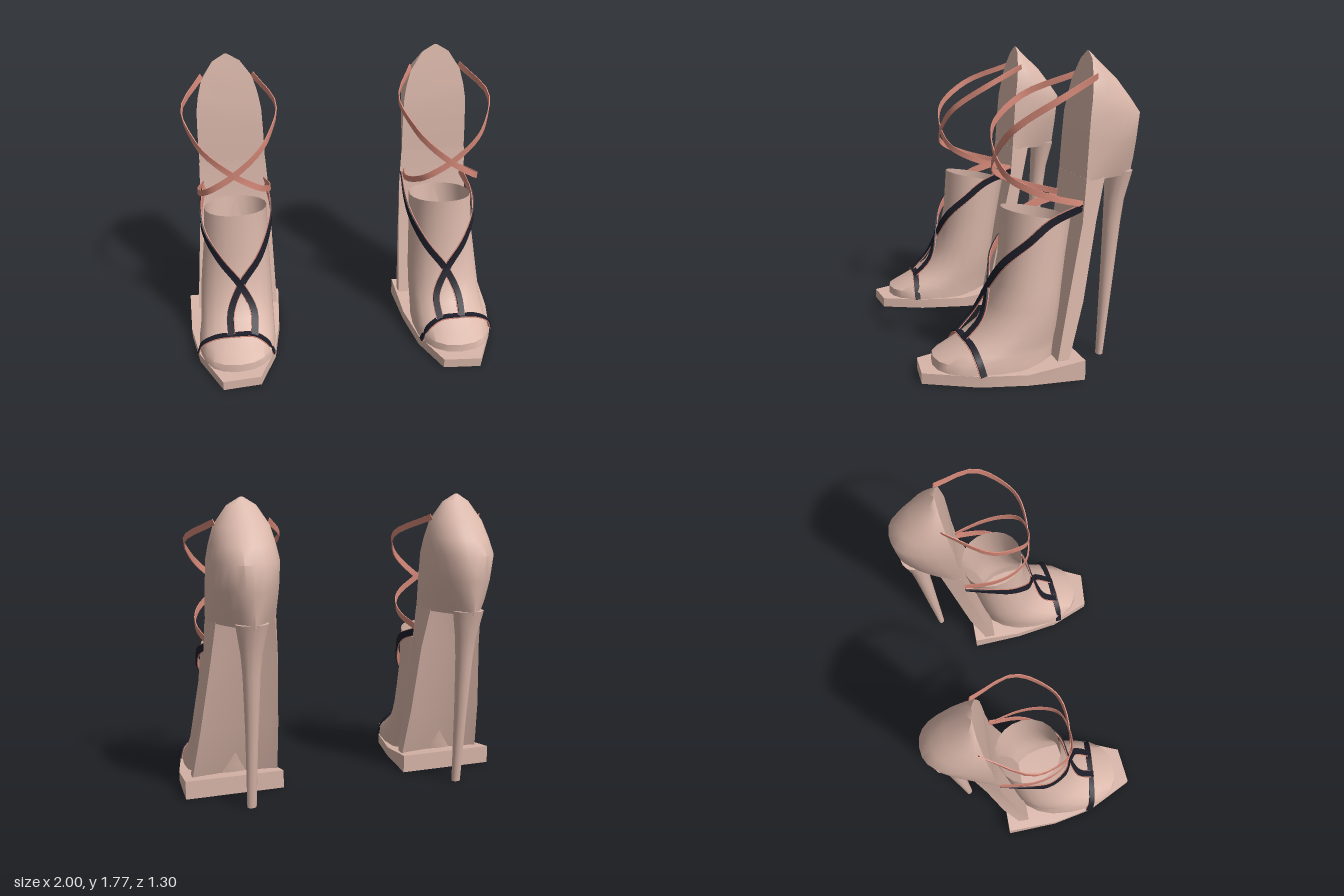
import * as THREE from 'three';
import { toCreasedNormals } from 'three/addons/utils/BufferGeometryUtils.js';

const V = (x, y, z) => new THREE.Vector3(x, y, z);
const CX = 0.655; // middle of one shoe

// Skins a list of equal-length rings; side = -1 mirrors the result across x.
function loft(rings, side, crease = 0.6, caps = true, top = true) {
  const n = rings[0].length, pos = [], idx = [];
  const add = (p) => pos.push(p.x * side, p.y, p.z);
  const tri = (a, b, c) => (side > 0 ? idx.push(a, b, c) : idx.push(a, c, b));
  rings.forEach((r) => r.forEach(add));
  for (let k = 0; k < rings.length - 1; k++) {
    for (let i = 0; i < n; i++) {
      const j = (i + 1) % n, a = k * n, b = a + n;
      tri(a + i, b + i, a + j);
      tri(b + i, b + j, a + j);
    }
  }
  const cap = (k, up) => {
    const c = pos.length / 3;
    add(rings[k].reduce((s, p) => s.add(p), V(0, 0, 0)).divideScalar(n));
    for (let i = 0; i < n; i++) {
      const a = k * n + i, b = k * n + (i + 1) % n;
      if (up) tri(c, b, a); else tri(c, a, b);
    }
  };
  if (caps) cap(0, false);
  if (caps && top) cap(rings.length - 1, true);
  const g = new THREE.BufferGeometry();
  g.setAttribute('position', new THREE.Float32BufferAttribute(pos, 3));
  g.setIndex(idx);
  return toCreasedNormals(g, crease);
}

const power = (v, p) => Math.sign(v) * Math.pow(Math.abs(v), 2 / p);

// Rounded horizontal ring; tilt lowers the back edge.
function oval(y, x0, x1, zf, zb, p = 2, count = 20, tilt = 0) {
  return Array.from({ length: count }, (_, i) => {
    const a = (i / count) * Math.PI * 2, s = power(Math.sin(a), p);
    return V((x0 + x1) / 2 + (x1 - x0) / 2 * power(Math.cos(a), p),
      y - tilt * (1 - s) / 2, (zf + zb) / 2 + (zf - zb) / 2 * s);
  });
}

// Ring with a flat front and a rounded back.
function dRing(y, w, zf, zb, p) {
  return Array.from({ length: 15 }, (_, i) => {
    const a = Math.PI + (i / 14) * Math.PI;
    return V(CX + w * power(Math.cos(a), p), y, zf + (zf - zb) * power(Math.sin(a), p));
  });
}

// Flat band along a curve, its face turned away from centre(p).
function band(points, width, thick, centre, side, steps, inset = 0) {
  const curve = new THREE.CatmullRomCurve3(points.map((p) => V(...p)));
  const rings = [];
  for (let i = 0; i <= steps; i++) {
    const p = curve.getPoint(i / steps), t = curve.getTangent(i / steps);
    const n = p.clone().sub(centre(p));
    n.addScaledVector(t, -n.dot(t)).normalize();
    const b = n.clone().cross(t).normalize();
    const at = (u, v) => p.clone().addScaledVector(n, u * thick / 2 - inset).addScaledVector(b, v * width / 2);
    rings.push([at(1, -1), at(1, 1), at(-1, 1), at(-1, -1)]);
  }
  return loft(rings, side, 0.5);
}

function createShoe(side, mats) {
  const shoe = new THREE.Group();
  shoe.name = side > 0 ? 'leftShoe' : 'rightShoe';
  const put = (name, geo, mat) => {
    const m = new THREE.Mesh(geo, mat);
    m.name = name;
    shoe.add(m);
  };

  // Platform sole, rising slightly at the back
  const outline = [[1, -0.22], [0.99, 0.1], [0.94, 0.36], [0.8, 0.65], [0.57, 0.63], [0.465, 0.38], [0.42, 0.1], [0.4, -0.22]];
  put('platform', loft([
    outline.map(([x, z]) => V(x, 0, z)),
    outline.map(([x, z]) => V(x, 0.06 + Math.max(0, 0.1 - z) * 0.16, z)),
  ], side, 0.3), mats.blush);

  // Foot and ankle, open at the top: y, x0, x1, front z, back z, squareness
  const foot = [
    [0.06, 0.455, 0.94, 0.57, -0.12, 2.4], [0.11, 0.455, 0.935, 0.565, -0.13, 2.4],
    [0.15, 0.455, 0.925, 0.49, -0.135, 2.3], [0.19, 0.455, 0.92, 0.415, -0.14, 2.2],
    [0.26, 0.455, 0.915, 0.31, -0.15, 2.2], [0.38, 0.455, 0.905, 0.235, -0.165, 2.2],
    [0.5, 0.458, 0.89, 0.2, -0.18, 2.2], [0.65, 0.46, 0.87, 0.17, -0.205, 2.1],
  ].map(([y, a, b, f, k, p]) => oval(y, a, b, f, k, p));
  foot.push(oval(0.92, 0.46, 0.85, 0.155, -0.24, 2.1, 20, 0.07));
  put('foot', loft(foot, side, 0.9, true, false), mats.blush);

  // Shank plate with a hollowed back: y, x0, x1, front z, back z, back inset
  put('shank', loft([
    [0.1, 0.42, 0.945, -0.08, -0.146, 0], [0.415, 0.425, 0.915, -0.146, -0.24, 0.01],
    [0.85, 0.432, 0.875, -0.24, -0.33, 0.025], [1.09, 0.445, 0.865, -0.262, -0.387, 0.04],
  ].map(([y, a, b, f, k, d]) => [
    V(b, y, f), V(a, y, f), V(a + d, y, k), V(a + d + 0.04, y, k + 0.01),
    V((a + b) / 2, y, k + 0.04), V(b - d - 0.04, y, k + 0.01), V(b - d, y, k),
  ]), side, 0.5), mats.blush);

  // Heel cup: y, half width, front z, back z, squareness
  put('heelCup', loft([
    [1.08, 0.208, -0.262, -0.62, 1.3], [1.17, 0.207, -0.267, -0.632, 1.6],
    [1.28, 0.205, -0.274, -0.64, 2], [1.43, 0.2, -0.285, -0.65, 2.4],
    [1.52, 0.185, -0.3, -0.585, 2.3], [1.62, 0.158, -0.314, -0.505, 2.2],
    [1.73, 0.085, -0.335, -0.385, 2], [1.775, 0.01, -0.343, -0.348, 2],
  ].map((r) => dRing(...r)), side, 0.8), mats.blush);

  // Stiletto: y, half width, front z, back z
  put('stiletto', loft([
    [0, 0.028, -0.43, -0.47], [0.45, 0.038, -0.447, -0.522], [0.8, 0.052, -0.46, -0.56],
    [0.93, 0.064, -0.465, -0.577], [1.1, 0.095, -0.471, -0.622],
  ].map(([y, w, f, k]) => oval(y, CX - w, CX + w, f, k, 2, 12)), side, 0.8), mats.blush);

  // Dark straps, each with a lining showing at its edges
  const lined = (name, pts, width, centre) => {
    put(name, band(pts, width, 0.008, centre, side, 24), mats.ink);
    put(name + 'Lining', band(pts, width + 0.008, 0.005, centre, side, 24, 0.007), mats.salmon);
  };
  lined('toeStrap', [[0.95, 0.06, 0.34], [0.92, 0.14, 0.36], [0.83, 0.195, 0.375], [0.7, 0.213, 0.39],
    [0.59, 0.21, 0.4], [0.51, 0.15, 0.41], [0.47, 0.06, 0.41]], 0.035, () => V(0.7, 0, 0.38));

  const legAxis = (p) => V(CX, p.y - Math.max(0, 0.5 - p.y), -0.04);
  lined('crossStrapA', [[0.735, 0.205, 0.405], [0.728, 0.32, 0.3], [0.655, 0.47, 0.24], [0.53, 0.63, 0.185],
    [0.455, 0.76, 0.06], [0.43, 0.86, -0.06], [0.445, 0.93, -0.25]], 0.04, legAxis);
  lined('crossStrapB', [[0.59, 0.205, 0.41], [0.583, 0.32, 0.305], [0.655, 0.47, 0.246], [0.775, 0.63, 0.185],
    [0.862, 0.76, 0.06], [0.875, 0.86, -0.06], [0.85, 0.93, -0.25]], 0.04, legAxis);

  // Ankle straps, a mirrored pair crossing in front
  const ankle = [[0.85, 0.95, -0.25], [0.878, 1.0, -0.06], [0.86, 1.05, 0.07], [0.8, 1.11, 0.165], [CX, 1.21, 0.195],
    [0.5, 1.34, 0.165], [0.43, 1.42, 0.09], [0.375, 1.53, -0.08], [0.5, 1.64, -0.34]];
  put('ankleStrapA', band(ankle, 0.036, 0.006, legAxis, side, 28), mats.salmon);
  put('ankleStrapB', band(ankle.map(([x, y, z]) => [2 * CX - x, y, z]), 0.036, 0.006, legAxis, side, 28), mats.salmon);
  return shoe;
}

export function createModel() {
  const mat = (name, color, s = THREE.FrontSide) => {
    const m = new THREE.MeshStandardMaterial({ color, side: s });
    m.name = name;
    return m;
  };
  const mats = {
    blush: mat('blush', 0xd9b6a9, THREE.DoubleSide),
    salmon: mat('salmon', 0xd48878),
    ink: mat('ink', 0x1d1e29),
  };
  const model = new THREE.Group();
  model.name = 'strappyHeels';
  model.add(createShoe(1, mats), createShoe(-1, mats));
  return model;
}
